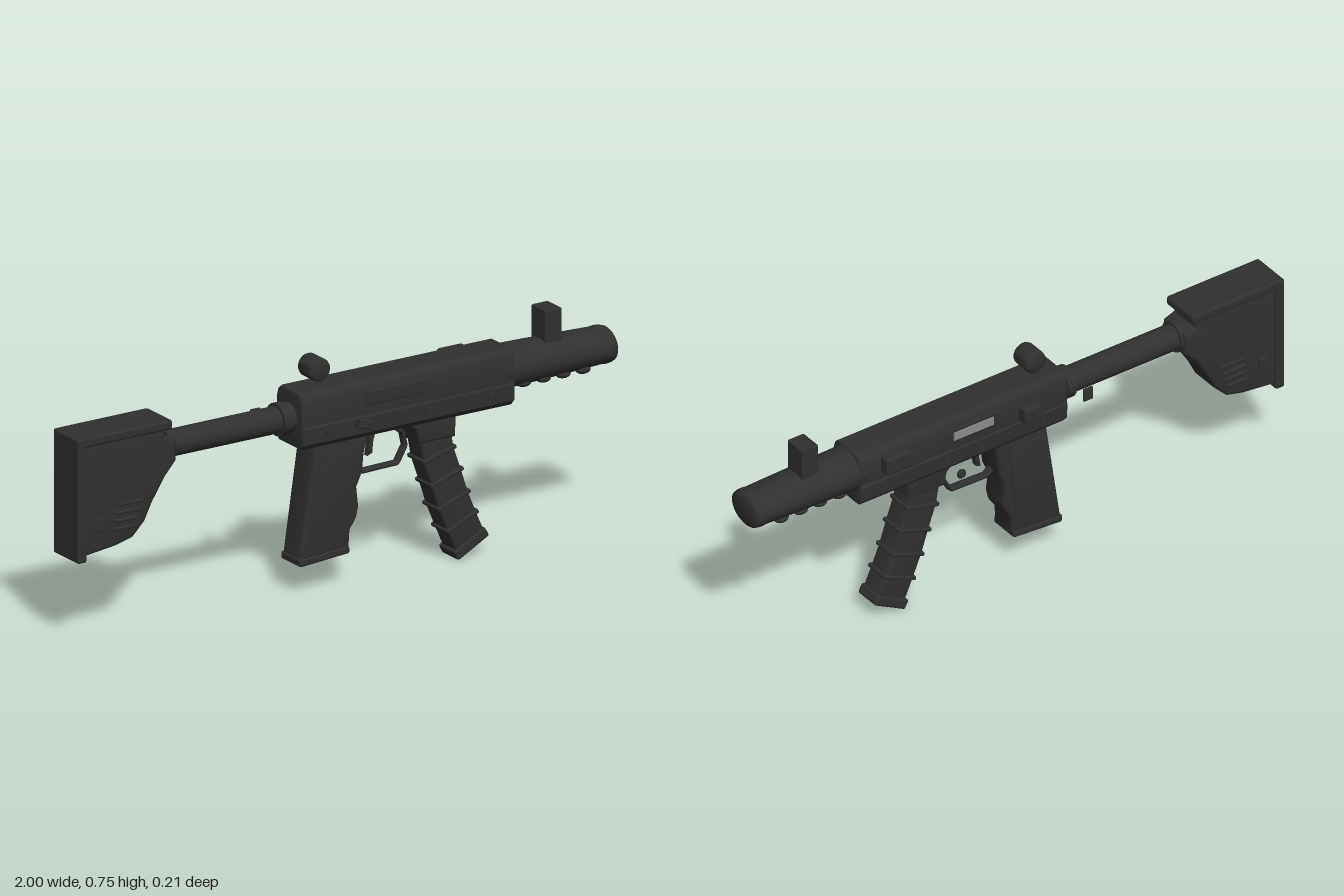
import * as THREE from 'three';
import { toCreasedNormals } from 'three/addons/utils/BufferGeometryUtils.js';
import { RoundedBoxGeometry } from 'three/addons/geometries/RoundedBoxGeometry.js';

const CZ = 0.007; // centre plane of the body

export function createModel() {
  const root = new THREE.Group();
  const body = new THREE.MeshStandardMaterial({ color: 0x303030 });
  body.name = 'charcoal';
  const steel = new THREE.MeshStandardMaterial({ color: 0x8c8c8c });
  steel.name = 'steel';

  const add = (name, geo, x = 0, y = 0, z = 0, rz = 0, mat = body) => {
    const m = new THREE.Mesh(geo, mat);
    m.name = name;
    m.position.set(x, y, z);
    m.rotation.z = rz;
    root.add(m);
    return m;
  };
  const box = (name, x, y, z, w, h, d, r = 0.005, rz = 0) =>
    add(name, new RoundedBoxGeometry(w, h, d, 2, r), x, y, z, rz);
  // side outline given width along z, with rounded edges
  const slab = (pts, width, bevel) => {
    const g = new THREE.ExtrudeGeometry(new THREE.Shape(pts.map(p => new THREE.Vector2(...p))), {
      depth: width - 2 * bevel, bevelThickness: bevel, bevelSize: bevel, bevelOffset: -bevel,
      bevelSegments: 3, bevelEnabled: bevel > 0,
    });
    g.translate(0, 0, -width / 2 + bevel);
    return toCreasedNormals(g, 0.6);
  };
  const tubeX = (name, x0, x1, y, r) => {
    const g = new THREE.CylinderGeometry(r, r, x1 - x0, 28);
    g.rotateZ(Math.PI / 2);
    return add(name, g, (x0 + x1) / 2, y, CZ);
  };

  // Shoulder stock
  add('stockBody', slab([
    [-0.98, 0.655], [-0.67, 0.655], [-0.67, 0.62], [-0.63, 0.605], [-0.63, 0.535], [-0.67, 0.49],
    [-0.715, 0.42], [-0.745, 0.36], [-0.79, 0.315], [-0.85, 0.3], [-0.98, 0.285],
  ], 0.126, 0.014), 0, 0, CZ);
  box('buttPlate', -0.983, 0.473, CZ, 0.034, 0.405, 0.142, 0.008);
  box('cheekRest', -0.815, 0.66, CZ, 0.33, 0.032, 0.142, 0.009);
  for (const s of [1, -1]) {
    const z = CZ + s * 0.062;
    for (let i = 0; i < 4; i++)
      box('stockRib', -0.805 - i * 0.006, 0.435 - i * 0.026, z, 0.095 - i * 0.006, 0.011, 0.016, 0.004);
    box('stockButton', -0.923, 0.385, z, 0.036, 0.046, 0.014);
  }

  // Stock tube and collars
  tubeX('stockTube', -0.65, -0.17, 0.573, 0.043);
  tubeX('rearCollar', -0.645, -0.622, 0.573, 0.052);
  tubeX('frontCollar', -0.225, -0.195, 0.573, 0.053);
  tubeX('collarSeat', -0.2, -0.17, 0.573, 0.047);
  box('slingTab', -0.242, 0.565, -0.08, 0.036, 0.045, 0.009, 0.003);

  // Receiver: chamfered section run along x
  const section = [[-0.06, 0.48], [0.06, 0.48], [0.075, 0.497], [0.078, 0.55], [0.074, 0.555],
    [0.074, 0.62], [0.066, 0.648], [0.048, 0.663]];
  const ring = [...section, ...section.slice(2).reverse().map(([z, y]) => [-z, y])];
  const receiver = slab(ring, 0.785, 0.008);
  receiver.rotateY(Math.PI / 2);
  add('receiver', receiver, 0.2175, 0, CZ);

  // Ports, pins and controls on the receiver sides
  box('portPanel', 0.172, 0.608, CZ + 0.072, 0.225, 0.046, 0.012, 0.004);
  box('portFrame', 0.185, 0.605, CZ - 0.072, 0.21, 0.05, 0.012, 0.004);
  add('bolt', new THREE.BoxGeometry(0.15, 0.028, 0.006), 0.185, 0.605, CZ - 0.079, 0, steel);
  box('selector', 0.045, 0.533, 0.09, 0.052, 0.03, 0.034, 0.006, -0.3);
  box('rearBlock', -0.019, 0.59, -0.085, 0.064, 0.055, 0.04, 0.008);
  box('chargingBlock', 0.488, 0.615, -0.085, 0.094, 0.06, 0.04, 0.008);
  for (const s of [1, -1])
    for (const x of [-0.08, 0.285, 0.52]) {
      const g = new THREE.CylinderGeometry(0.011, 0.011, 0.008, 14);
      g.rotateX(Math.PI / 2);
      add('pin', g, x, 0.53, CZ + s * 0.079);
    }
  add('releaseButton', new THREE.SphereGeometry(1, 14, 10), 0.237, 0.461, -0.08).scale.set(0.016, 0.016, 0.01);

  // Barrel shroud: oval, tapering in height toward the muzzle
  const barrel = new THREE.LatheGeometry([
    [0.077, 0.58], [0.077, 0.7], [0.075, 0.9], [0.074, 0.955], [0.076, 0.965], [0.076, 0.98],
    [0.072, 0.992], [0.06, 0.998], [0.0001, 1],
  ].map(p => new THREE.Vector2(...p)), 36);
  barrel.rotateZ(-Math.PI / 2);
  const pos = barrel.attributes.position;
  for (let i = 0; i < pos.count; i++)
    pos.setY(i, pos.getY(i) * THREE.MathUtils.mapLinear(pos.getX(i), 0.6, 1, 0.92, 0.77));
  barrel.computeVertexNormals();
  add('barrelShroud', toCreasedNormals(barrel, 0.9), 0, 0.587, CZ);
  for (const s of [1, -1])
    for (let i = 0; i < 4; i++)
      add('shroudVent', new THREE.SphereGeometry(1, 14, 10), 0.665 + i * 0.073, 0.534, CZ + s * 0.038)
        .scale.set(0.026, 0.014, 0.02);

  // Sights
  box('frontSight', 0.775, 0.69, CZ, 0.062, 0.122, 0.078, 0.004);
  const drum = new THREE.LatheGeometry([
    [0.0001, -0.039], [0.03, -0.039], [0.036, -0.035], [0.038, -0.029],
    [0.038, 0.029], [0.036, 0.035], [0.03, 0.039], [0.0001, 0.039],
  ].map(p => new THREE.Vector2(...p)), 28);
  drum.rotateX(Math.PI / 2);
  add('rearSight', toCreasedNormals(drum, 0.9), -0.083, 0.717, CZ);

  // Pistol grip
  add('grip', slab([
    [-0.112, 0.49], [0.09, 0.49], [0.072, 0.42], [0.066, 0.36], [0.045, 0.315], [0.052, 0.25],
    [0.044, 0.215], [0.02, 0.18], [0.016, 0.12], [-0.168, 0.112],
  ], 0.106, 0.016), 0, 0, CZ);
  for (const s of [1, -1])
    add('gripPanel', slab([[-0.09, 0.45], [0.03, 0.45], [0.005, 0.15], [-0.14, 0.145]], 0.006, 0.001),
      0, 0, CZ + s * 0.053);
  box('gripBase', -0.078, 0.113, CZ, 0.186, 0.026, 0.11, 0.008, 0.07);

  // Trigger and its guard
  const guard = [[0.055, 0.37], [0.085, 0.345], [0.22, 0.348], [0.25, 0.4], [0.24, 0.445], [0.2, 0.475]];
  const guardPath = new THREE.CurvePath();
  for (let i = 0; i + 1 < guard.length; i++)
    guardPath.add(new THREE.LineCurve3(new THREE.Vector3(...guard[i], 0), new THREE.Vector3(...guard[i + 1], 0)));
  const guardGeo = new THREE.TubeGeometry(guardPath, 40, 0.008, 8);
  guardGeo.scale(1, 1, 2);
  add('triggerGuard', guardGeo, 0, 0, CZ);
  add('trigger', slab([[0.115, 0.485], [0.145, 0.485], [0.13, 0.44], [0.126, 0.4], [0.108, 0.392], [0.116, 0.44]],
    0.022, 0.003), 0, 0, CZ);

  // Magazine well and curved magazine
  add('magazineWell', slab([[0.235, 0.485], [0.41, 0.485], [0.408, 0.41], [0.275, 0.41], [0.262, 0.455]],
    0.1, 0.008), 0, 0, CZ);
  const spine = [[0.34, 0.43], [0.352, 0.36], [0.38, 0.28], [0.406, 0.2], [0.437, 0.125], [0.47, 0.05]];
  const half = 0.057;
  const normals = spine.map((p, i) => {
    const a = spine[Math.max(i - 1, 0)], b = spine[Math.min(i + 1, spine.length - 1)];
    return new THREE.Vector2(a[1] - b[1], b[0] - a[0]).normalize();
  });
  const edge = s => spine.map(([x, y], i) => [x + s * half * normals[i].x, y + s * half * normals[i].y]);
  add('magazine', slab([...edge(-1), ...edge(1).reverse()], 0.08, 0.006), 0, 0, CZ);
  for (let i = 1; i < 5; i++) {
    const tilt = Math.atan2(normals[i].y, normals[i].x);
    box('magazineRib', spine[i][0], spine[i][1], CZ, 2 * half + 0.014, 0.014, 0.094, 0.005, tilt);
  }
  box('magazineBase', 0.47, 0.046, CZ, 0.13, 0.034, 0.094, 0.007, 0.49);

  return root;
}
